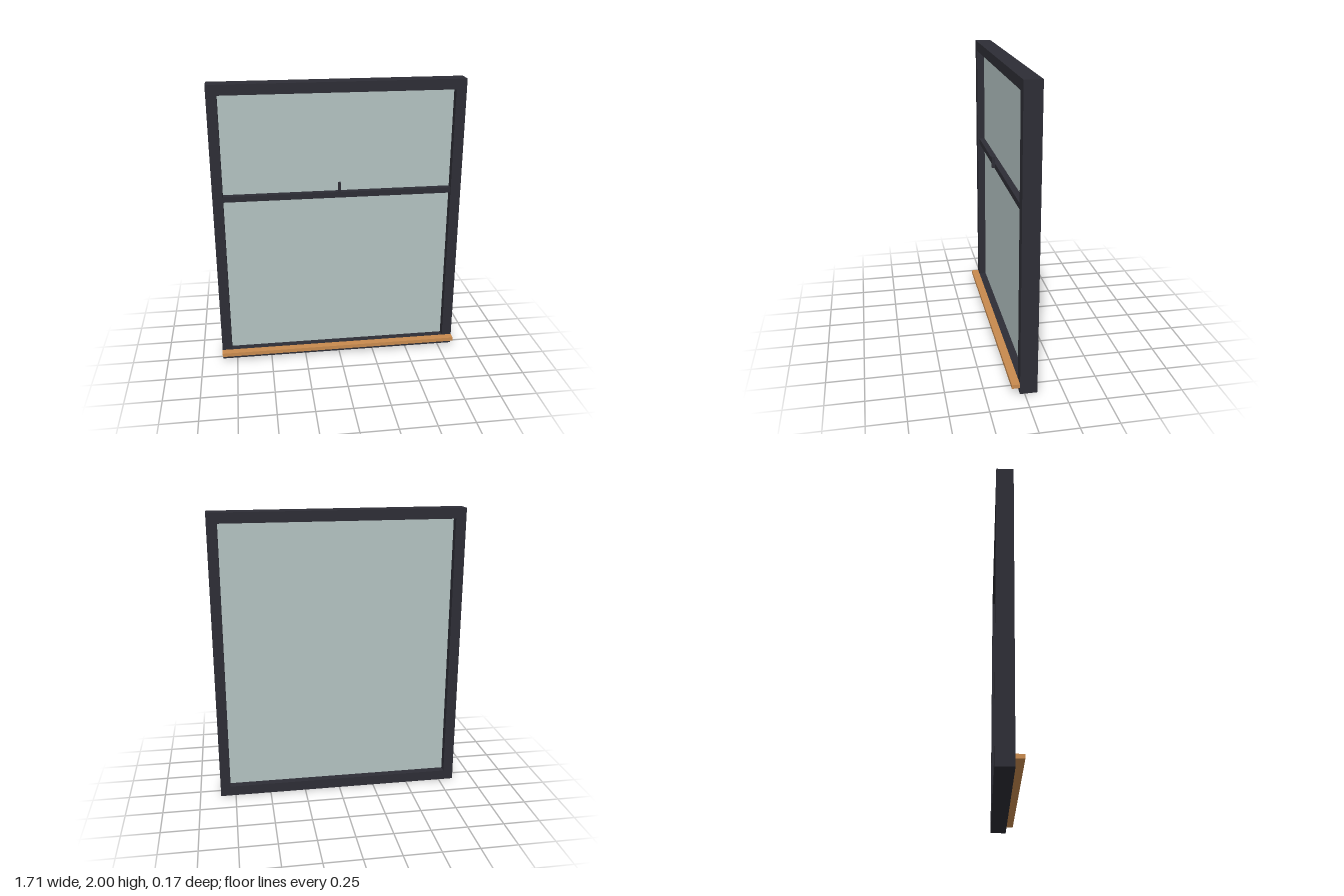
import * as THREE from 'three';

const frameMat = new THREE.MeshStandardMaterial({ color: 0x2d2d35 });
frameMat.name = 'dark frame';
const glassMat = new THREE.MeshStandardMaterial({ color: 0xb3c2c1 });
glassMat.name = 'pale glass';
const woodMat = new THREE.MeshStandardMaterial({ color: 0xc88a4e });
woodMat.name = 'oak wood';

// Box given by its lower and upper bounds on each axis
function box(name, mat, [x0, x1], [y0, y1], [z0, z1]) {
  const mesh = new THREE.Mesh(new THREE.BoxGeometry(x1 - x0, y1 - y0, z1 - z0), mat);
  mesh.position.set((x0 + x1) / 2, (y0 + y1) / 2, (z0 + z1) / 2);
  mesh.name = name;
  return mesh;
}

function rectangle(target, x, y0, y1) {
  target.moveTo(-x, y0);
  target.lineTo(x, y0);
  target.lineTo(x, y1);
  target.lineTo(-x, y1);
  target.closePath();
  return target;
}

export function createModel() {
  const group = new THREE.Group();
  group.name = 'window';

  // Outer frame: one rectangular ring
  const shape = rectangle(new THREE.Shape(), 0.855, 0, 2);
  shape.holes.push(rectangle(new THREE.Path(), 0.785, 0.07, 1.93));
  const frame = new THREE.Mesh(
    new THREE.ExtrudeGeometry(shape, { depth: 0.113, bevelEnabled: false }), frameMat);
  frame.position.z = -0.083;
  frame.name = 'frame';
  group.add(frame);

  // Pane set in the middle of the frame depth
  group.add(box('glassPane', glassMat, [-0.785, 0.785], [0.07, 1.93], [-0.031, -0.023]));

  // Cross rail on the front of the pane, with its latch handle above
  group.add(box('crossRail', frameMat, [-0.785, 0.785], [1.205, 1.245], [-0.023, 0.018]));
  group.add(box('latchHandle', frameMat, [-0.009, 0.009], [1.245, 1.325], [0.036, 0.056]));

  // Wooden sill along the front
  group.add(box('sill', woodMat, [-0.855, 0.855], [0.045, 0.072], [0.03, 0.083]));

  return group;
}
